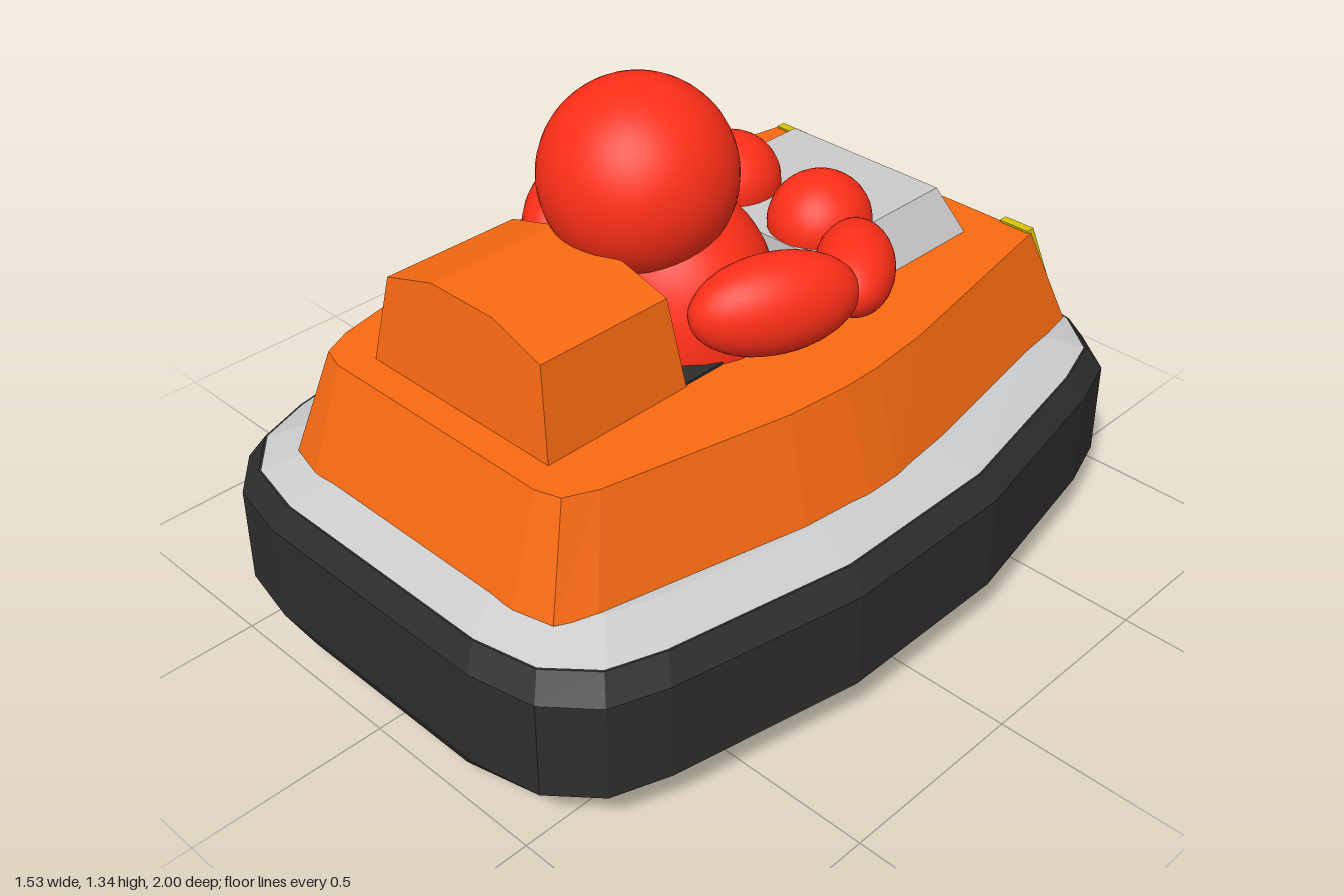
import * as THREE from 'three';

const mat = (color, flatShading) => new THREE.MeshStandardMaterial({ color, flatShading });
const ORANGE = mat(0xf96a12, true), BLACK = mat(0x2d2d2d, true), GREY = mat(0xcccccc, true);
const RED = mat(0xff2f18, false), YELLOW = mat(0xd8c408, true);

// Skin between closed rings of [x, y, z] points, listed bottom to top, counterclockwise from above
function loft(rings) {
  const n = rings[0].length, idx = [];
  for (let r = 0; r < rings.length - 1; r++)
    for (let i = 0; i < n; i++) {
      const j = (i + 1) % n, a = r * n, b = a + n;
      idx.push(a + i, a + j, b + j, a + i, b + j, b + i);
    }
  const top = (rings.length - 1) * n;
  for (let i = 1; i < n - 1; i++) idx.push(0, i + 1, i, top, top + i, top + i + 1);
  const g = new THREE.BufferGeometry();
  g.setAttribute('position', new THREE.Float32BufferAttribute(rings.flat(2), 3));
  g.setIndex(idx);
  g.computeVertexNormals();
  return g;
}

// Mirror the +x half of an outline (front to back), scale it and lift it to a height
function ring(half, y, sx = 1, sz = sx) {
  const full = [...half, ...half.map(([x, z]) => [-x, z]).reverse()];
  return full.map(([x, z]) => [x * sx, y, z * sz]);
}

// Symmetric four-cornered ring
const rect = (w, front, back, y) => ring([[w, front], [w, back]], y);

export function createModel() {
  const model = new THREE.Group();
  const add = (name, geometry, material, parent = model) => {
    const m = new THREE.Mesh(geometry, material);
    m.name = name;
    parent.add(m);
    return m;
  };

  // Rubber bumper with rounded underside
  const hull = [[0.34, 1], [0.51, 0.965], [0.62, 0.87], [0.67, 0.73], [0.765, 0.24],
    [0.765, -0.24], [0.67, -0.73], [0.62, -0.88], [0.5, -0.97], [0.33, -1]];
  add('bumper', loft([
    ring(hull, 0, 0.45, 0.75), ring(hull, 0.02, 0.67, 0.88), ring(hull, 0.06, 0.8, 0.965),
    ring(hull, 0.13), ring(hull, 0.38), ring(hull, 0.44, 0.945, 0.965),
  ]), BLACK);

  // Sloping trim between bumper and body
  add('trim', loft([
    ring(hull, 0.438, 0.945, 0.965), ring(hull, 0.482, 0.8, 0.86),
  ]), GREY);

  // Tapered body with rounded front corners and a square back
  const lower = [[0.34, 0.87], [0.44, 0.845], [0.485, 0.76], [0.6, 0.24], [0.62, 0.05],
    [0.62, -0.05], [0.6, -0.24], [0.49, -0.88]];
  const upper = [[0.33, 0.785], [0.39, 0.765], [0.425, 0.69], [0.525, 0.22], [0.54, 0.05],
    [0.54, -0.05], [0.525, -0.22], [0.425, -0.79]];
  add('body', loft([ring(lower, 0.475), ring(upper, 0.735)]), ORANGE);

  // Dark cockpit opening
  add('cockpit', loft([rect(0.285, 0.3, -0.66, 0.7), rect(0.285, 0.3, -0.66, 0.741)]), BLACK);

  // Dashboard
  add('dashboard', loft([rect(0.3, -0.17, -0.68, 0.735), rect(0.235, -0.17, -0.64, 0.85)]), GREY);

  // Seat back: an arched section, leaning slightly
  const arch = [[0.29, 0.73], [0.25, 0.955], [0.1, 1], [-0.1, 1], [-0.25, 0.955], [-0.29, 0.73]];
  const seat = new THREE.ExtrudeGeometry(new THREE.Shape(arch.map(p => new THREE.Vector2(...p))),
    { depth: 1, bevelEnabled: false });
  const p = seat.attributes.position;
  for (let i = 0; i < p.count; i++) {
    const t = (p.getY(i) - 0.73) / 0.27;
    p.setZ(i, p.getZ(i) > 0.5 ? 0.71 - 0.03 * t : 0.3 + 0.025 * t);
  }
  seat.computeVertexNormals();
  add('seatBack', seat, ORANGE);

  // Tail lamps lying on the back slope
  for (const s of [-1, 1]) {
    const slab = (x0, x1, z, y, d) => {
      const c = [[x0 * s, z], [x1 * s, z], [x1 * s, z - d], [x0 * s, z - d]];
      if (s < 0) c.reverse();
      return c.map(([x, zz]) => [x, y, zz]);
    };
    add(s > 0 ? 'leftTailLamp' : 'rightTailLamp',
      loft([slab(0.37, 0.46, -0.86, 0.49, 0.03), slab(0.335, 0.42, -0.78, 0.742, 0.025)]), YELLOW);
  }

  // Rider
  const rider = new THREE.Group();
  rider.name = 'rider';
  model.add(rider);
  const head = add('head', new THREE.SphereGeometry(0.23, 40, 28), RED, rider);
  head.position.set(0, 1.105, 0.16);

  const profile = [[1, 0.55], [1, 0.74], [0.95, 0.84], [0.83, 0.93], [0.6, 1], [0.3, 1.03], [0, 1.04]];
  const curve = new THREE.SplineCurve(profile.map(q => new THREE.Vector2(...q)));
  const torso = add('torso', new THREE.LatheGeometry(curve.getPoints(18)
    .map(q => q.setX(Math.max(0, q.x))), 36), RED, rider);
  torso.scale.set(0.305, 1, 0.25);
  torso.position.z = 0.09;

  // Arms: stretched spheres pointing along the given direction
  for (const s of [-1, 1]) {
    const side = s > 0 ? 'left' : 'right';
    const limb = (name, pos, dir, width, height, length) => {
      const m = add(side + name, new THREE.SphereGeometry(1, 28, 20), RED, rider);
      m.position.set(pos[0] * s, pos[1], pos[2]);
      m.rotation.y = Math.atan2(dir[0] * s, dir[1]);
      m.scale.set(width, height, length);
    };
    limb('UpperArm', [0.328, 0.862, 0.06], [0.41, -0.91], 0.105, 0.12, 0.205);
    limb('Forearm', [0.335, 0.845, -0.21], [-0.64, -0.77], 0.095, 0.095, 0.165);
    limb('Hand', [0.147, 0.86, -0.3], [0, 1], 0.125, 0.125, 0.13);
  }
  return model;
}
